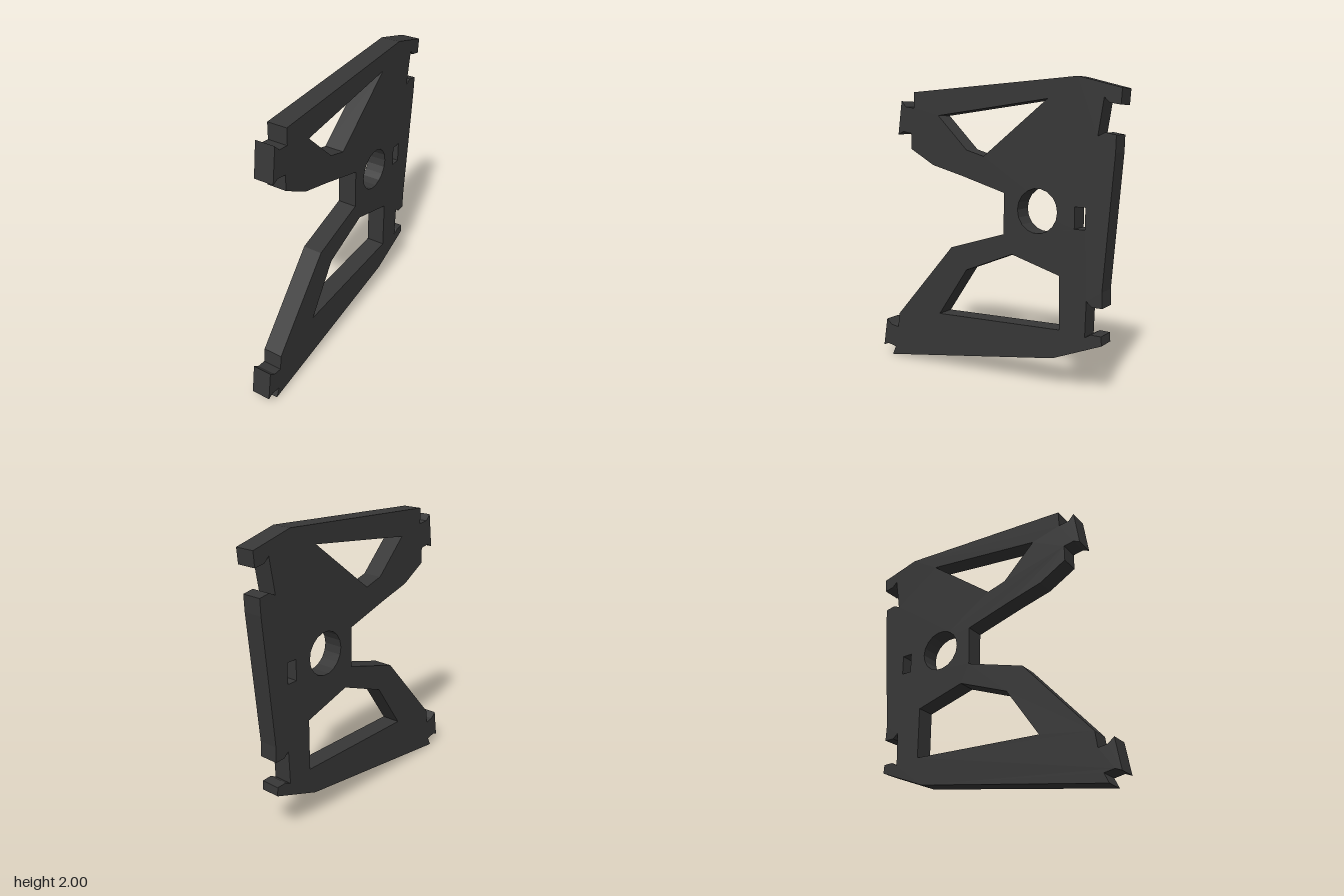
import * as THREE from 'three';

const THICKNESS = 0.134;

// Points are [z, y]; the shape's own x axis becomes -z once the plate is turned.
const toPoints = (list) => list.map(([z, y]) => new THREE.Vector2(-z, y));

export function createModel() {
  // Outer outline of the bracket plate, clockwise
  const outline = new THREE.Shape(toPoints([
    // top edge and upper rear hook
    [0.62, 1.931], [-0.65, 2.0], [-0.94, 1.923], [-0.933, 1.824], [-0.86, 1.837], [-0.825, 1.871],
    [-0.787, 1.638], [-0.835, 1.661], [-0.908, 1.647],
    // rear edge and lower rear notch
    [-0.905, 1.54], [-0.835, 0.68], [-0.84, 0.577], [-0.77, 0.577], [-0.73, 0.61],
    [-0.723, 0.376], [-0.765, 0.4], [-0.835, 0.398], [-0.84, 0.338],
    // bottom edge and lower front tab
    [-0.495, 0.202], [0.86, 0], [0.83, 0.064], [0.9, 0.078], [0.943, 0.06],
    [0.91, 0.265], [0.866, 0.228], [0.803, 0.218], [0.79, 0.322],
    // front recess between the two arms
    [0.308, 0.862], [-0.12, 0.988], [-0.12, 1.263], [0.225, 1.365], [0.46, 1.428], [0.652, 1.537],
    // upper front tab
    [0.652, 1.646], [0.723, 1.658], [0.768, 1.638], [0.735, 1.871], [0.697, 1.831], [0.622, 1.821],
  ]));

  // Round bore
  const bore = [];
  for (let i = 0; i < 18; i++) {
    const a = (i / 18) * Math.PI * 2;
    bore.push([-0.371 - 0.146 * Math.cos(a), 1.157 + 0.146 * Math.sin(a)]);
  }

  // Arm windows, bore and slot, all counter-clockwise so their walls face inward
  const holes = [
    [[0.178, 1.538], [0.04, 1.498], [-0.44, 1.868], [0.412, 1.768]],
    [[0.416, 0.374], [-0.54, 0.398], [-0.538, 0.752], [-0.183, 0.858], [0.183, 0.714]],
    bore,
    [[-0.639, 1.06], [-0.713, 1.06], [-0.713, 1.2], [-0.639, 1.2]],
  ];
  for (const hole of holes) outline.holes.push(new THREE.Path(toPoints(hole)));

  const geometry = new THREE.ExtrudeGeometry(outline, { depth: THICKNESS, bevelEnabled: false });
  geometry.translate(0, 0, -THICKNESS / 2);
  geometry.rotateY(Math.PI / 2);

  const plate = new THREE.Mesh(
    geometry,
    new THREE.MeshStandardMaterial({ color: 0x373737, flatShading: true }),
  );
  plate.name = 'bracketPlate';

  const group = new THREE.Group();
  group.name = 'bracket';
  group.add(plate);
  return group;
}
